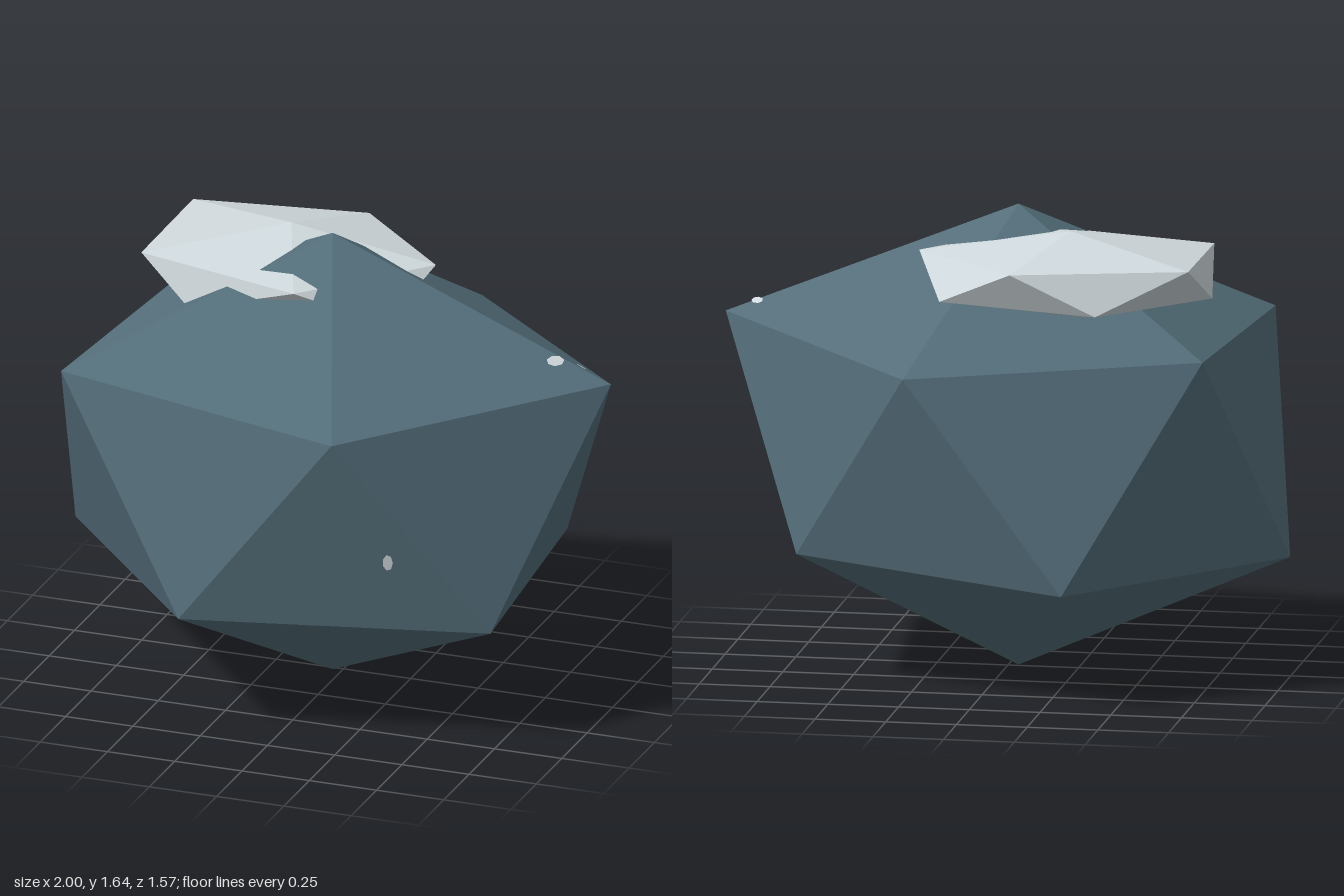
import * as THREE from 'three';

const stone = new THREE.MeshStandardMaterial({ color: 0x546e7a });
stone.name = 'slate blue stone';
const snow = new THREE.MeshStandardMaterial({ color: 0xcfd8dc });
snow.name = 'pale snow';

// Irregular faceted body: a top point, two staggered rings of five, a bottom point
function facetedRock({ top, upper, lower, bottom }) {
  const tris = [];
  for (let i = 0; i < 5; i++) {
    const j = (i + 1) % 5;
    tris.push(top, upper[i], upper[j]);
    tris.push(upper[i], lower[i], upper[j]);
    tris.push(lower[i], lower[j], upper[j]);
    tris.push(bottom, lower[j], lower[i]);
  }
  const g = new THREE.BufferGeometry();
  g.setAttribute('position', new THREE.Float32BufferAttribute(tris.flat(), 3));
  g.computeVertexNormals();
  return g;
}

// Rings run counterclockwise seen from above, starting at the left (+x)
const boulder = {
  top: [-0.035, 1.64, 0.015],
  upper: [[1, 1.22, 0.015], [0.24, 1.16, -0.73], [-0.77, 1.2, -0.45], [-0.85, 1.2, 0.53], [0.23, 1.15, 0.73]],
  lower: [[0.67, 0.46, -0.43], [-0.33, 0.42, -0.785], [-1, 0.425, -0.01], [-0.32, 0.44, 0.78], [0.735, 0.43, 0.5]],
  bottom: [-0.035, 0, 0.015],
};

const cap = {
  top: [-0.25, 1.585, -0.15],
  upper: [[0.285, 1.5, -0.155], [-0.1, 1.5, -0.52], [-0.71, 1.51, -0.4], [-0.71, 1.505, 0.11], [-0.08, 1.505, 0.28]],
  lower: [[0.17, 1.37, -0.4], [-0.4, 1.36, -0.51], [-0.75, 1.365, -0.15], [-0.5, 1.36, 0.2], [0.2, 1.37, 0.12]],
  bottom: [-0.25, 1.28, -0.15],
};

// Thin fleck lying on the boulder face a-b-c, placed by corner weights
function fleck(a, b, c, weights, rx, ry) {
  const [A, B, C] = [a, b, c].map((p) => new THREE.Vector3(...p));
  const normal = new THREE.Triangle(A, B, C).getNormal(new THREE.Vector3());
  const mesh = new THREE.Mesh(new THREE.CircleGeometry(1, 7), snow);
  mesh.name = 'snowFleck';
  mesh.scale.set(rx, ry, 1);
  mesh.position
    .addScaledVector(A, weights[0])
    .addScaledVector(B, weights[1])
    .addScaledVector(C, weights[2])
    .addScaledVector(normal, 0.004);
  mesh.lookAt(mesh.position.clone().add(normal));
  return mesh;
}

export function createModel() {
  const model = new THREE.Group();
  model.name = 'snowCappedBoulder';

  const body = new THREE.Mesh(facetedRock(boulder), stone);
  body.name = 'boulder';
  const patch = new THREE.Mesh(facetedRock(cap), snow);
  patch.name = 'snowCap';
  model.add(body, patch);

  // Small flecks on the front, the back and the left ridge
  const { top, upper: u, lower: l } = boulder;
  model.add(
    fleck(u[4], l[3], l[4], [0.37, 0.14, 0.49], 0.018, 0.032),
    fleck(u[1], l[1], l[0], [0.36, 0.3, 0.34], 0.016, 0.018),
    fleck(top, u[4], u[0], [0.165, 0.035, 0.8], 0.032, 0.022),
    fleck(top, u[0], u[1], [0.1, 0.885, 0.015], 0.028, 0.016),
  );
  return model;
}
